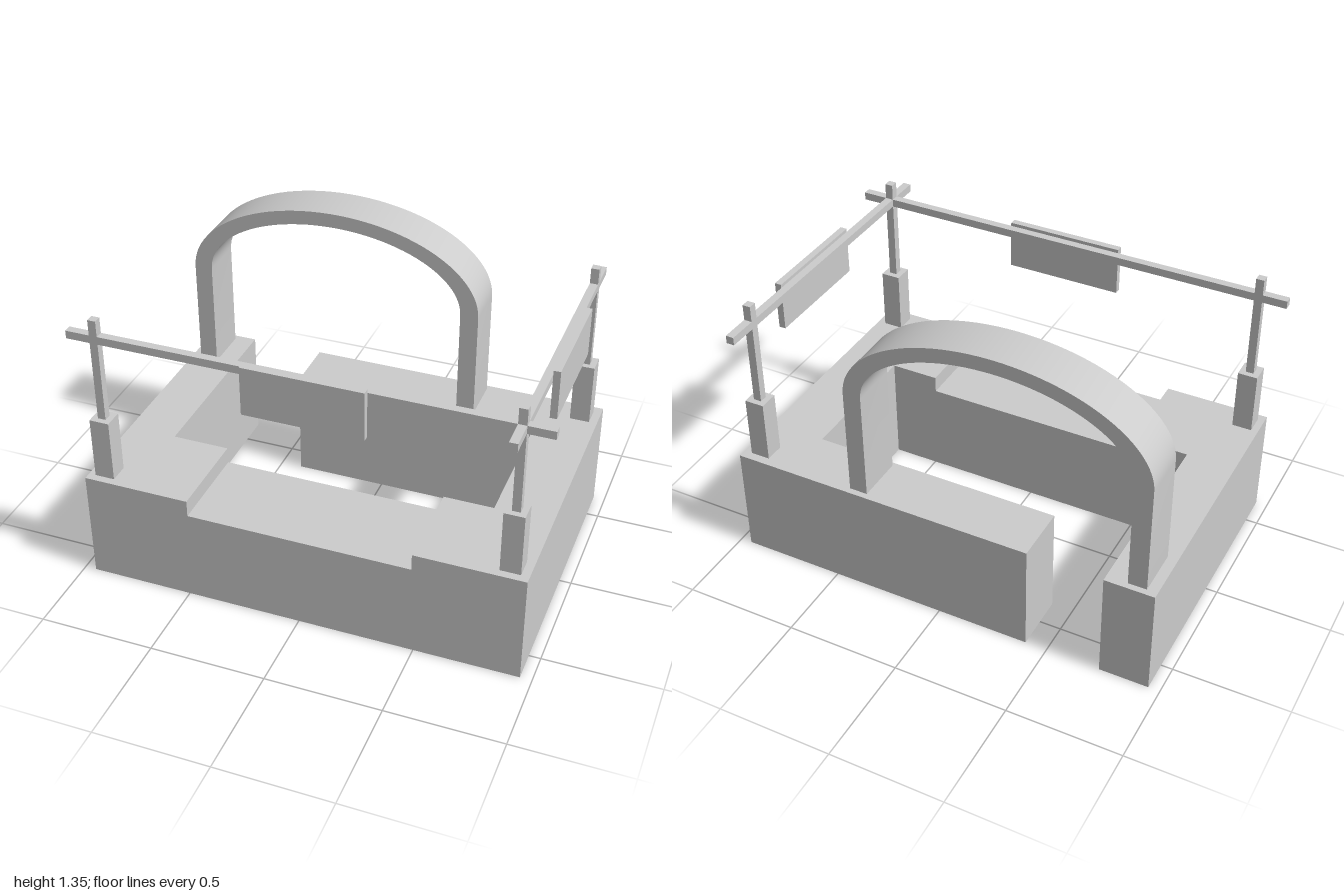
import * as THREE from 'three';
import { toCreasedNormals } from 'three/addons/utils/BufferGeometryUtils.js';

const material = new THREE.MeshStandardMaterial({ color: 0xcccccc });

function addMesh(parent, name, geometry) {
  const mesh = new THREE.Mesh(geometry, material);
  mesh.name = name;
  parent.add(mesh);
  return mesh;
}

// Box given by its minimum and maximum corners
function addBox(parent, name, [x0, y0, z0], [x1, y1, z1]) {
  const mesh = addMesh(parent, name, new THREE.BoxGeometry(x1 - x0, y1 - y0, z1 - z0));
  mesh.position.set((x0 + x1) / 2, (y0 + y1) / 2, (z0 + z1) / 2);
  return mesh;
}

// Footprint of [x, z] points raised from the ground
function addBlock(parent, name, points, height) {
  const shape = new THREE.Shape(points.map(([x, z]) => new THREE.Vector2(x, -z)));
  const geometry = new THREE.ExtrudeGeometry(shape, { depth: height, bevelEnabled: false });
  geometry.rotateX(-Math.PI / 2);
  return addMesh(parent, name, geometry);
}

export function createModel() {
  const model = new THREE.Group();
  model.name = 'marketStall';
  const top = 0.49, halfX = 0.95, halfZ = 0.634;
  const frontInner = 0.231, notch = 0.485;

  // Counter walls around an open floor, with an entrance at the back
  const base = new THREE.Group();
  base.name = 'counterWalls';
  model.add(base);
  addBlock(base, 'leftWall', [
    [-halfX, halfZ], [-notch, halfZ], [-notch, frontInner],
    [-0.735, frontInner], [-0.735, -halfZ], [-halfX, -halfZ],
  ], top);
  addBlock(base, 'rightAndBackWall', [
    [notch, halfZ], [halfX, halfZ], [halfX, -halfZ], [-0.405, -halfZ],
    [-0.405, -0.381], [0.7, -0.381], [0.7, frontInner], [notch, frontInner],
  ], top);
  addBox(base, 'loweredFrontCounter', [-notch, 0, frontInner], [notch, 0.417, halfZ]);

  // Arch: straight legs joined by a half ellipse
  const cx = -0.2425, spring = 0.975;
  const arch = new THREE.Shape();
  arch.moveTo(cx + 0.6625, top);
  arch.lineTo(cx + 0.6625, spring);
  arch.absellipse(cx, spring, 0.6625, 0.373, 0, Math.PI, false);
  arch.lineTo(cx - 0.6625, top);
  arch.lineTo(cx - 0.5825, top);
  arch.lineTo(cx - 0.5825, spring);
  arch.absellipse(cx, spring, 0.5825, 0.31, Math.PI, 0, true);
  arch.lineTo(cx + 0.5825, top);
  const archGeometry = new THREE.ExtrudeGeometry(arch, {
    depth: 0.209, bevelEnabled: false, curveSegments: 24,
  });
  archGeometry.translate(0, 0, -0.607);
  addMesh(model, 'arch', toCreasedNormals(archGeometry, 0.5));

  // Posts: thick socket below, slim pole above
  for (const [name, x, z] of [
    ['frontRightPost', -0.877, 0.557],
    ['frontLeftPost', 0.872, 0.557],
    ['backLeftPost', 0.872, -0.553],
  ]) {
    const post = new THREE.Group();
    post.name = name;
    post.position.set(x, 0, z);
    model.add(post);
    addBox(post, 'socket', [-0.043, top, -0.043], [0.043, 0.766, 0.043]);
    addBox(post, 'pole', [-0.0175, 0.766, -0.0175], [0.0175, 1.23, 0.0175]);
  }

  // Rails crossing at the front corner
  addBox(model, 'frontRail', [-1, 1.125, 0.5395], [1, 1.16, 0.5745]);
  addBox(model, 'sideRail', [0.8545, 1.125, -0.697], [0.8895, 1.16, 0.697]);

  // Blank sign boards hung on the outside of the rails
  addBox(model, 'frontSign', [-0.235, 0.96, 0.5745], [0.275, 1.175, 0.604]);
  addBox(model, 'sideSign', [0.8895, 0.96, -0.306], [0.919, 1.175, 0.204]);

  return model;
}
